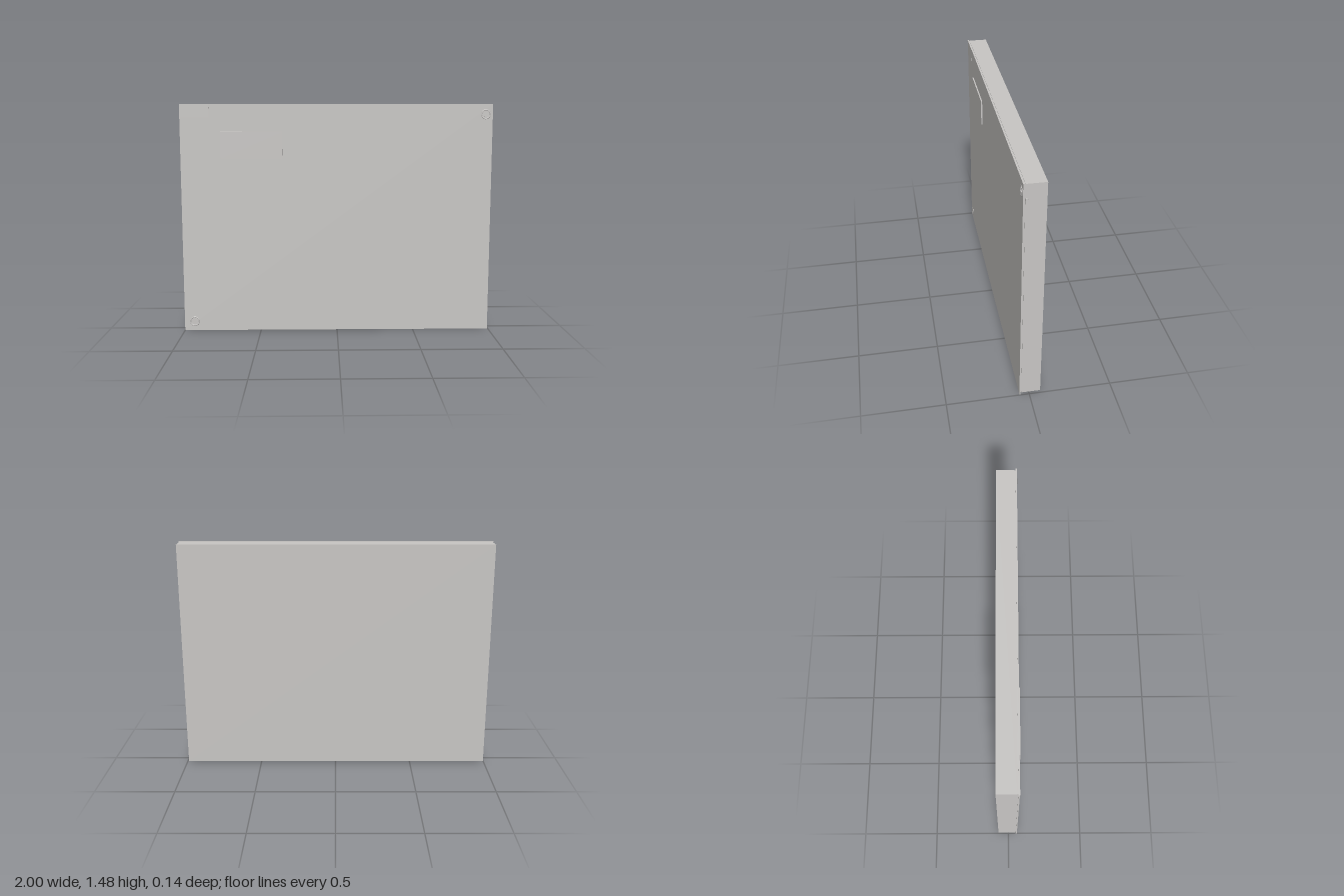
import * as THREE from 'three';

const BACK = -0.069, SEAM = 0.046, DOOR_FRONT = 0.059;

export function createModel() {
  const model = new THREE.Group();
  const grey = new THREE.MeshStandardMaterial({ color: 0xc8c6c4 });
  grey.name = 'light grey';

  // Box given by its minimum and maximum corners
  function box(name, x0, x1, y0, y1, z0, z1, parent = model) {
    const mesh = new THREE.Mesh(new THREE.BoxGeometry(x1 - x0, y1 - y0, z1 - z0), grey);
    mesh.position.set((x0 + x1) / 2, (y0 + y1) / 2, (z0 + z1) / 2);
    mesh.name = name;
    parent.add(mesh);
    return mesh;
  }

  // Shallow cabinet body, slightly smaller than its door
  box('cabinetBody', -0.995, 0.989, 0.008, 1.472, BACK, SEAM);

  // Door panel with a narrow reveal behind it
  box('doorGasket', -0.992, 0.986, 0.011, 1.469, SEAM, 0.051);
  box('door', -1, 0.995, 0, 1.475, 0.051, DOOR_FRONT);

  // Raised label holder and thin corner plate
  box('labelPlate', -0.745, -0.35, 1.13, 1.3, DOOR_FRONT, 0.067);
  box('cornerPlate', -0.998, -0.815, 1.39, 1.475, DOOR_FRONT, 0.0605);

  // Round quarter-turn fasteners: outer ring, recessed disc and slotted head
  function fastener(name, x, y) {
    const group = new THREE.Group();
    group.name = name;
    const ring = new THREE.Mesh(new THREE.TorusGeometry(0.028, 0.004, 8, 32), grey);
    ring.scale.z = 0.6;
    ring.name = 'fastenerRing';
    const head = new THREE.Mesh(new THREE.CylinderGeometry(0.019, 0.019, 0.002, 32), grey);
    head.rotation.x = Math.PI / 2;
    head.position.z = 0.001;
    head.name = 'fastenerHead';
    group.add(ring, head);
    box('fastenerSlot', -0.01, 0.01, -0.002, 0.002, 0.001, 0.003, group);
    group.position.set(x, y, DOOR_FRONT);
    model.add(group);
  }
  fastener('upperFastener', 0.95, 1.41);
  fastener('lowerFastener', -0.935, 0.06);

  // Small catch pin on the side wall
  const pin = new THREE.Mesh(new THREE.CylinderGeometry(0.007, 0.007, 0.011, 16), grey);
  pin.rotation.z = Math.PI / 2;
  pin.position.set(0.9945, 1.382, 0.039);
  pin.name = 'catchPin';
  model.add(pin);

  return model;
}
